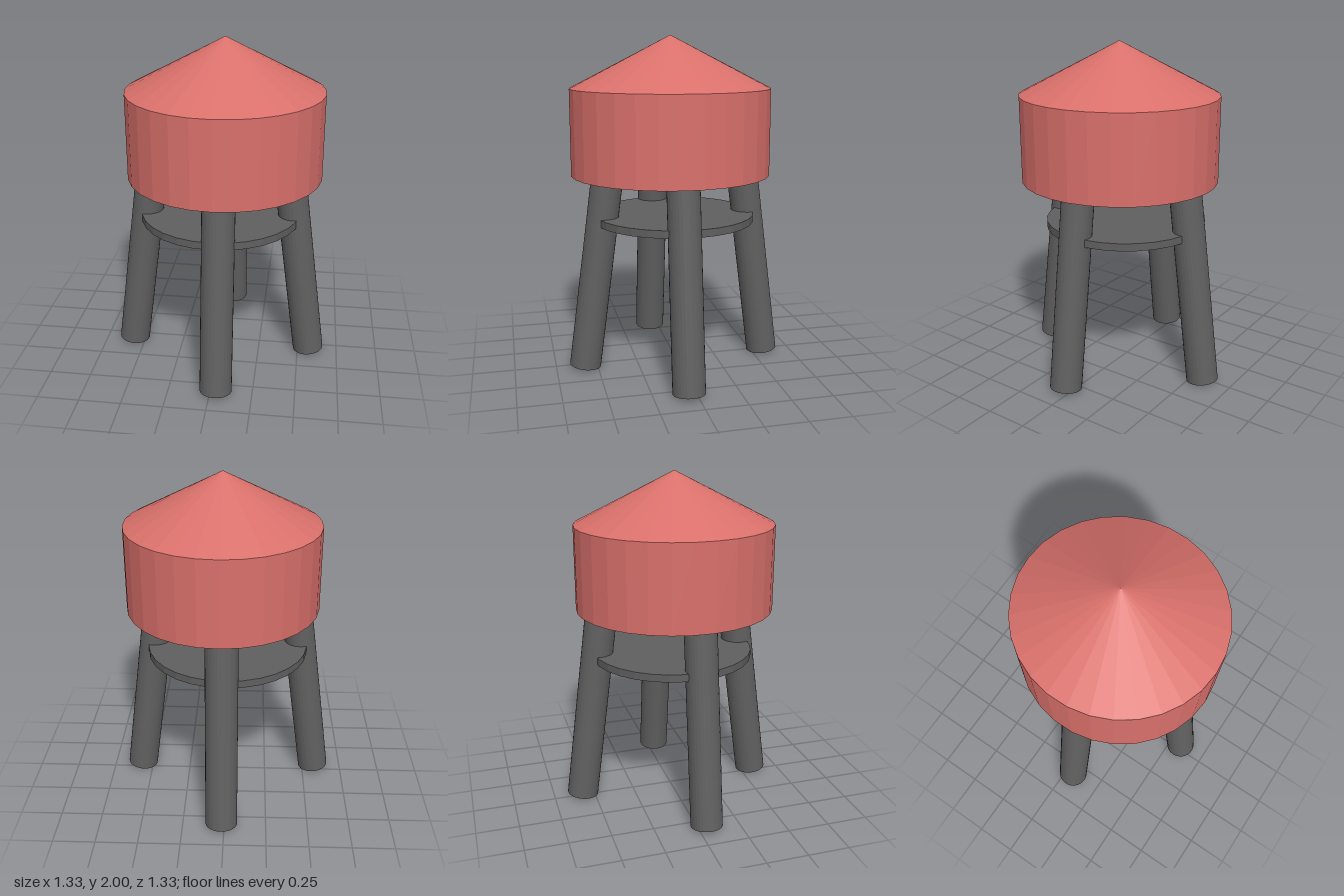
import * as THREE from 'three';

const SIDES = 30;
const red = new THREE.MeshStandardMaterial({ color: 0xd9706b, flatShading: true });
const dark = new THREE.MeshStandardMaterial({ color: 0x606060, flatShading: true });

function addMesh(group, name, geometry, material, x, y, z) {
  const mesh = new THREE.Mesh(geometry, material);
  mesh.name = name;
  mesh.position.set(x, y, z);
  group.add(mesh);
  return mesh;
}

// Straight round leg between two points, with end caps square to its axis
function addLeg(group, name, foot, top) {
  const a = new THREE.Vector3(...foot), b = new THREE.Vector3(...top);
  const axis = b.clone().sub(a);
  const mid = a.clone().add(b).multiplyScalar(0.5);
  const geometry = new THREE.CylinderGeometry(0.095, 0.095, axis.length(), SIDES);
  const leg = addMesh(group, name, geometry, dark, mid.x, mid.y, mid.z);
  leg.quaternion.setFromUnitVectors(new THREE.Vector3(0, 1, 0), axis.normalize());
}

export function createModel() {
  const model = new THREE.Group();
  model.name = 'waterTower';

  // Tank and conical roof, very slightly oval
  const cx = 0.025, cz = 0.034;
  const tank = addMesh(model, 'tank', new THREE.CylinderGeometry(0.594, 0.594, 0.508, SIDES), red, cx, 1.441, cz);
  const roof = addMesh(model, 'roof', new THREE.ConeGeometry(0.594, 0.305, SIDES), red, cx, 1.8475, cz);
  for (const part of [tank, roof]) part.scale.x = 0.973;

  // Four splayed legs, their tops hidden inside the tank
  const footY = 0.0125, topY = 1.25, out = 0.571, inn = 0.408;
  addLeg(model, 'leftLeg', [out - 0.004, footY, 0.046], [inn - 0.003, topY, 0.046]);
  addLeg(model, 'rightLeg', [-out, footY, 0.053], [-inn, topY, 0.053]);
  addLeg(model, 'frontLeg', [0.034, footY, out + 0.002], [0.034, topY, inn]);
  addLeg(model, 'backLeg', [0.017, footY, -out], [0.017, topY, -inn - 0.003]);

  // Round platform between the legs
  addMesh(model, 'platform', new THREE.CylinderGeometry(0.484, 0.484, 0.045, SIDES), dark, -0.003, 0.917, 0.008);

  return model;
}
